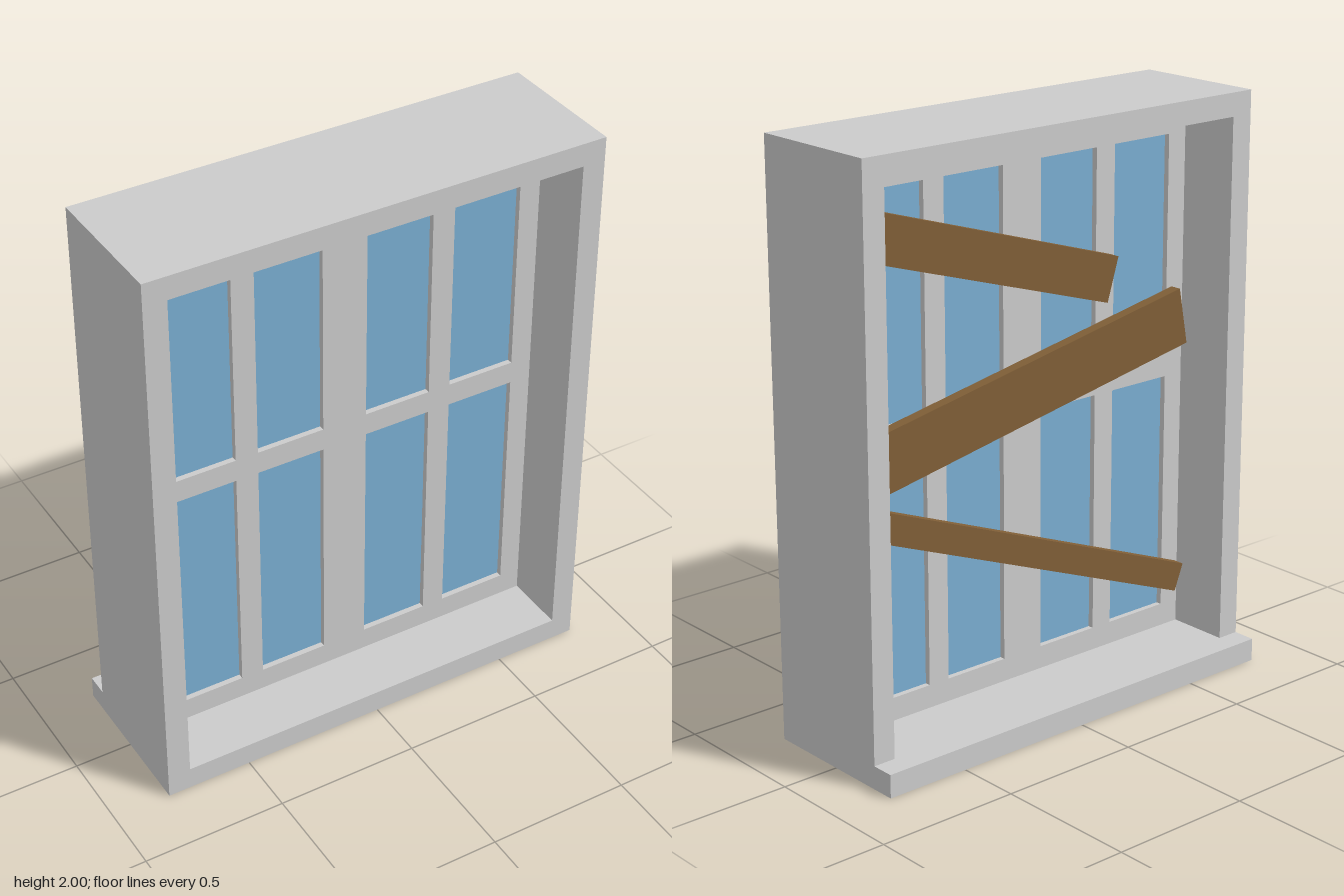
import * as THREE from 'three';

const material = (color) => new THREE.MeshStandardMaterial({ color, flatShading: true });

// Adds a closed rectangle to a Shape or Path
function rect(path, x0, y0, x1, y1) {
  path.moveTo(x0, y0);
  path.lineTo(x1, y0);
  path.lineTo(x1, y1);
  path.lineTo(x0, y1);
  path.closePath();
  return path;
}

// Rectangular slab with rectangular holes, spanning z0 to z1
function pierced(outer, holes, z0, z1) {
  const shape = rect(new THREE.Shape(), ...outer);
  for (const h of holes) shape.holes.push(rect(new THREE.Path(), ...h));
  return new THREE.ExtrudeGeometry(shape, { depth: z1 - z0, bevelEnabled: false }).translate(0, 0, z0);
}

export function createModel() {
  const model = new THREE.Group();
  model.name = 'boardedWindow';
  const grey = material(0xcccccc);
  const glass = material(0x7aaed2);
  glass.side = THREE.DoubleSide;
  const wood = material(0x805f37);

  const add = (name, geometry, mat, parent = model) => {
    const mesh = new THREE.Mesh(geometry, mat);
    mesh.name = name;
    parent.add(mesh);
    return mesh;
  };

  // Deep outer frame and the sill that sticks out behind it
  const opening = [-0.72, 0.08, 0.72, 1.92];
  add('frame', pierced([-0.8, 0, 0.8, 2], [opening], -0.2, 0.28), grey);
  add('sill', new THREE.BoxGeometry(1.6, 0.08, 0.08).translate(0, 0.04, -0.24), grey);

  // Thin sash with eight openings, a pane of glass in each
  const columns = [[-0.645, -0.4], [-0.32, -0.08], [0.08, 0.32], [0.4, 0.645]];
  const rows = [[0.16, 1.0], [1.08, 1.84]];
  const panes = rows.flatMap(([y0, y1]) => columns.map(([x0, x1]) => [x0, y0, x1, y1]));
  add('sash', pierced(opening, panes, 0.02, 0.06), grey);

  const glazing = new THREE.Group();
  glazing.name = 'glazing';
  model.add(glazing);
  for (const [x0, y0, x1, y1] of panes) {
    const pane = add('pane', new THREE.PlaneGeometry(x1 - x0, y1 - y0), glass, glazing);
    pane.position.set((x0 + x1) / 2, (y0 + y1) / 2, 0.04);
  }

  // Crooked boards nailed across the back: x, y, length, width, tilt
  const boards = [
    [0.165, 1.562, 1.1, 0.157, 0.3],
    [0, 1.086, 1.4, 0.2, -0.185],
    [-0.005, 0.53, 1.475, 0.1, 0.373],
  ];
  for (const [x, y, length, width, tilt] of boards) {
    const board = add('board', new THREE.BoxGeometry(length, width, 0.04), wood);
    board.position.set(x, y, 0);
    board.rotation.z = tilt;
  }

  return model;
}
